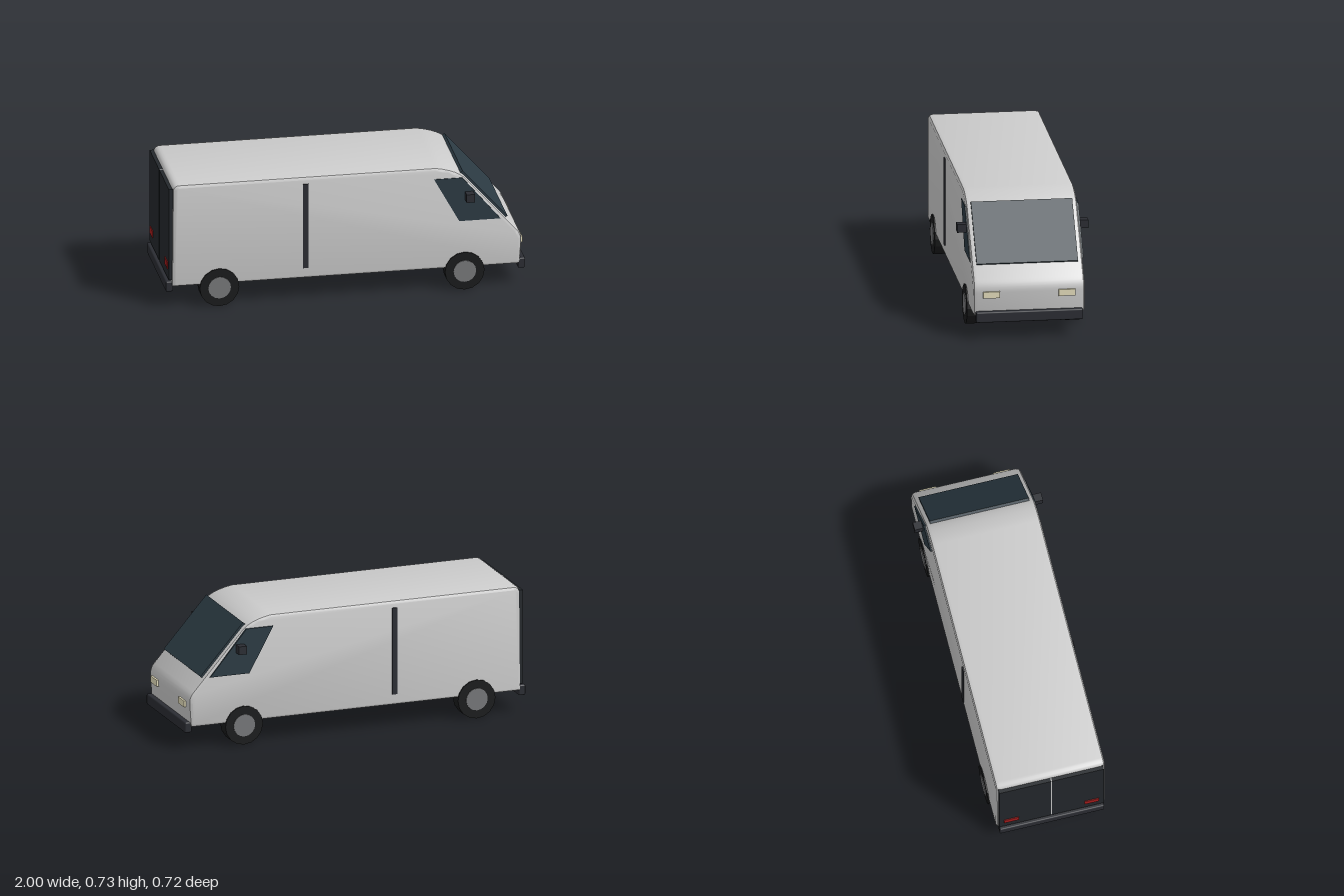
import * as THREE from 'three';
import { toCreasedNormals } from 'three/addons/utils/BufferGeometryUtils.js';
import { RoundedBoxGeometry } from 'three/addons/geometries/RoundedBoxGeometry.js';

const mat = (color) => new THREE.MeshStandardMaterial({ color });

export function createModel() {
  const van = new THREE.Group();
  van.name = 'van';
  const paint = mat(0xcccccc);
  const glass = mat(0x2c3b44);
  const trim = mat(0x2b2d33);
  const doorDark = mat(0x24282c);
  const rubber = mat(0x1a1b1c);
  const hubGrey = mat(0x77787a);
  const lamp = mat(0xe6dfbd);
  const red = mat(0xa81c1c);

  const add = (name, geometry, material, x = 0, y = 0, z = 0, parent = van) => {
    const mesh = new THREE.Mesh(geometry, material);
    mesh.name = name;
    mesh.position.set(x, y, z);
    parent.add(mesh);
    return mesh;
  };
  const box = (name, material, x0, x1, y0, y1, z0, z1) =>
    add(name, new THREE.BoxGeometry(x1 - x0, y1 - y0, z1 - z0), material,
      (x0 + x1) / 2, (y0 + y1) / 2, (z0 + z1) / 2);

  // Body shell: side profile extruded across the width with a soft bevel
  const profile = new THREE.Shape();
  profile.moveTo(-0.955, 0.125);
  profile.lineTo(0.955, 0.125);
  profile.quadraticCurveTo(0.97, 0.125, 0.972, 0.145);
  profile.lineTo(0.98, 0.26);
  profile.quadraticCurveTo(0.983, 0.3, 0.955, 0.33);
  profile.lineTo(0.66, 0.664);
  profile.quadraticCurveTo(0.61, 0.71, 0.5, 0.727);
  profile.lineTo(-0.925, 0.727);
  profile.quadraticCurveTo(-0.965, 0.727, -0.965, 0.687);
  profile.lineTo(-0.97, 0.14);
  profile.quadraticCurveTo(-0.97, 0.125, -0.955, 0.125);
  const shell = new THREE.ExtrudeGeometry(profile, {
    depth: 0.566, curveSegments: 5,
    bevelEnabled: true, bevelSize: 0.02, bevelOffset: -0.02, bevelThickness: 0.025, bevelSegments: 2,
  });
  shell.translate(0, 0, -0.283);
  add('body', toCreasedNormals(shell, 0.6), paint);

  // Windscreen lying on the sloped nose
  const screen = add('windscreen', new THREE.BoxGeometry(0.378, 0.018, 0.56), glass, 0.772, 0.541, 0);
  screen.rotation.z = Math.atan2(-0.288, 0.254);

  // Cab side windows
  const windowShape = new THREE.Shape([
    [0.49, 0.66], [0.63, 0.405], [0.86, 0.405], [0.647, 0.66],
  ].map(([x, y]) => new THREE.Vector2(x, y)));
  const pane = new THREE.ExtrudeGeometry(windowShape, { depth: 0.012, bevelEnabled: false });
  add('leftSideWindow', pane, glass, 0, 0, -0.316);
  add('rightSideWindow', pane, glass, 0, 0, 0.3);

  // Parts mirrored on both sides
  for (const s of [1, -1]) {
    const span = (a, b) => (s > 0 ? [a, b] : [-b, -a]);
    box('slidingDoorTrim', trim, -0.24, -0.21, 0.19, 0.685, ...span(0.3, 0.315));
    box('wingMirror', trim, 0.662, 0.708, 0.53, 0.577, ...span(0.3, 0.362));
    box('headlight', lamp, 0.96, 0.991, 0.232, 0.268, ...span(0.162, 0.255));
    box('rearDoor', doorDark, -0.984, -0.96, 0.165, 0.7, ...span(0.003, 0.295));
    box('tailLight', red, -0.989, -0.975, 0.222, 0.262, ...span(0.185, 0.268));

    for (const x of [-0.705, 0.66]) {
      const wheel = new THREE.Group();
      wheel.name = 'wheel';
      wheel.position.set(x, 0.11, s * 0.275);
      wheel.rotation.x = s * Math.PI / 2;
      van.add(wheel);
      const tyre = new THREE.CylinderGeometry(0.11, 0.11, 0.08, 16);
      add('tyre', toCreasedNormals(tyre, 0.3), rubber, 0, 0, 0, wheel);
      add('hub', new THREE.CylinderGeometry(0.063, 0.063, 0.02, 16), hubGrey, 0, 0.034, 0, wheel);
    }
  }

  // Light strip between the rear doors
  box('rearDoorSeam', paint, -0.983, -0.96, 0.165, 0.7, -0.003, 0.003);

  // Bumpers
  const bumper = new RoundedBoxGeometry(0.04, 0.06, 0.59, 2, 0.008);
  add('frontBumper', bumper, trim, 0.98, 0.126, 0);
  add('rearBumper', bumper, trim, -0.98, 0.126, 0);

  return van;
}
